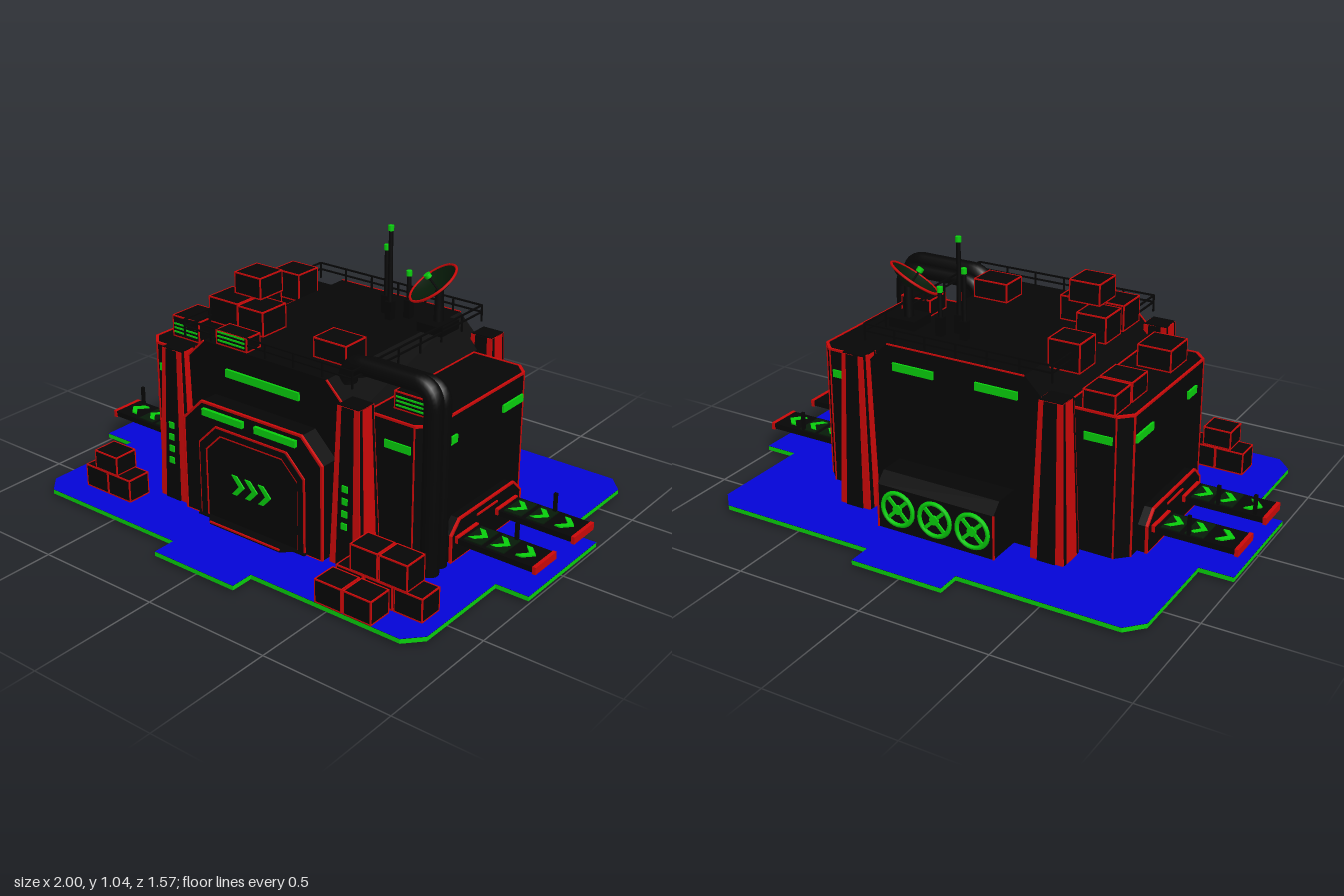
import * as THREE from 'three';

const mat = (name, color) => {
  const m = new THREE.MeshStandardMaterial({ color });
  m.name = name;
  return m;
};

export function createModel() {
  const root = new THREE.Group();
  root.name = 'outpost';
  const black = mat('black', 0x060606), red = mat('red', 0xcc0808), green = mat('green', 0x08d00c);
  const blue = mat('blue', 0x0404d8), darkGreen = mat('darkGreen', 0x061a08);

  // Helpers
  const add = (name, geo, m, parent = root) => {
    const mesh = new THREE.Mesh(geo, m);
    mesh.name = name;
    parent.add(mesh);
    return mesh;
  };
  // box from its limits along each axis
  const box = (name, x0, x1, y0, y1, z0, z1, m, parent = root) => {
    const b = add(name, new THREE.BoxGeometry(Math.abs(x1 - x0), y1 - y0, Math.abs(z1 - z0)), m, parent);
    b.position.set((x0 + x1) / 2, (y0 + y1) / 2, (z0 + z1) / 2);
    return b;
  };
  const poly = pts => new THREE.Shape(pts.map(p => new THREE.Vector2(...p)));
  const extrude = (shape, depth) => new THREE.ExtrudeGeometry(shape, { depth, bevelEnabled: false });
  const arch = (w, y0, h, c) => [[-w, y0], [w, y0], [w, h - c], [w - c, h], [c - w, h], [-w, h - c]];
  const archFrame = (w, y0, h, c, t, depth) => {
    const s = poly(arch(w, y0, h, c));
    s.holes.push(poly(arch(w - t, y0 + 0.001, h - t, c - t * 0.4)));
    return extrude(s, depth);
  };
  // black box with thin red edge bars
  const crate = (name, x0, x1, y0, y1, z0, z1) => {
    const g = new THREE.Group(), e = 0.005, o = 0.001;
    g.name = name;
    root.add(g);
    box('body', x0 + o, x1 - o, y0 + o, y1 - o, z0 + o, z1 - o, black, g);
    for (const a of [0, 1]) for (const b of [0, 1]) {
      const [x, y, z] = [a ? x1 - e : x0, b ? y1 - e : y0, a ? z1 - e : z0];
      const zb = b ? z1 - e : z0;
      box('edge', x0, x1, y, y + e, z, z + e, red, g);
      box('edge', x, x + e, y0, y1, zb, zb + e, red, g);
      box('edge', x, x + e, y, y + e, z0, z1, red, g);
    }
  };
  const chevron = s => poly([[-0.03, 0.037], [-0.006, 0.037], [0.028, 0], [-0.006, -0.037], [-0.03, -0.037], [0.003, 0]]
    .map(p => [p[0] * s, p[1] * s]));

  // Ground plate
  const q = [[1, 0.228], [0.87, 0.228], [0.87, 0.63], [0.81, 0.695], [0.183, 0.695], [0.183, 0.787]];
  const r = [...q].reverse();
  const plan = poly([...q, ...r.map(([x, y]) => [-x, y]), ...q.map(([x, y]) => [-x, -y]), ...r.map(([x, y]) => [x, -y])]);
  const base = add('basePlate', extrude(plan, 0.017), [black, green]);
  base.rotation.x = -Math.PI / 2;
  base.position.y = 0.012;
  const top = add('baseTop', new THREE.ShapeGeometry(plan), blue);
  top.rotation.x = -Math.PI / 2;
  top.position.y = 0.03;

  // Main hall with sloping shoulders
  const hall = poly([[-0.39, 0.02], [0.39, 0.02], [0.39, 0.57], [0.28, 0.68], [-0.28, 0.68], [-0.39, 0.57]]);
  add('mainHall', extrude(hall, 0.8), black).position.z = -0.4;
  box('roofTrim', -0.28, 0.28, 0.677, 0.682, -0.404, -0.399, red);
  for (const s of [-1, 1]) {
    const trim = box('shoulderTrim', -0.078, 0.078, -0.003, 0.003, -0.003, 0.003, red);
    trim.position.set(s * 0.335, 0.625, 0.401);
    trim.rotation.z = -s * Math.PI / 4;
    box('backWindow', s * 0.085, s * 0.255, 0.585, 0.615, -0.408, -0.4, green);
  }
  box('frontWindow', -0.17, 0.165, 0.572, 0.602, 0.403, 0.412, green);

  // Front gate
  add('gatePortal', extrude(poly(arch(0.32, 0.03, 0.485, 0.09)), 0.085), black).position.z = 0.39;
  add('portalTrim', archFrame(0.322, 0.03, 0.488, 0.09, 0.008, 0.01), red).position.z = 0.469;
  add('doorFrame', archFrame(0.245, 0.03, 0.405, 0.08, 0.007, 0.01), red).position.z = 0.47;
  add('doorSurround', archFrame(0.238, 0.03, 0.398, 0.077, 0.022, 0.012), black).position.z = 0.471;
  add('doorTrim', archFrame(0.215, 0.03, 0.372, 0.07, 0.005, 0.006), red).position.z = 0.472;
  for (const x of [-0.062, 0, 0.062]) add('doorChevron', extrude(chevron(1.03), 0.006), green).position.set(x, 0.197, 0.474);
  box('gateLight', -0.22, -0.03, 0.437, 0.463, 0.475, 0.488, green);
  box('gateLight', 0.025, 0.21, 0.437, 0.463, 0.475, 0.488, green);
  box('gateSill', -0.25, 0.25, 0.025, 0.036, 0.4, 0.49, black);
  const step = poly([[-0.2, 0], [0.2, 0], [0.165, -0.035], [-0.165, -0.035]]);
  const stepMesh = add('doorStep', extrude(step, 0.016), black);
  stepMesh.rotation.x = -Math.PI / 2;
  stepMesh.position.set(0, 0.025, 0.488);
  box('stepTrim', -0.165, 0.165, 0.036, 0.042, 0.519, 0.525, red);

  // Tapered corner pillars
  for (const sx of [-1, 1]) for (const sz of [-1, 1]) {
    const g = new THREE.Group();
    g.name = 'cornerPillar';
    g.position.set(sx * 0.403, 0.325, sz * 0.4);
    root.add(g);
    const taper = (w, d) => {
      const geo = new THREE.BoxGeometry(w, 0.6, d), p = geo.attributes.position;
      for (let i = 0; i < p.count; i++) {
        const k = p.getY(i) > 0 ? 0.7 : 1;
        p.setXYZ(i, p.getX(i) * k, p.getY(i), p.getZ(i) * k);
      }
      geo.computeVertexNormals();
      return geo;
    };
    add('pillarCore', taper(0.13, 0.12), red, g);
    add('pillarPanel', taper(0.07, 0.13), black, g);
    add('pillarSidePanel', taper(0.134, 0.105), black, g);
    add('pillarSideStripe', taper(0.138, 0.07), red, g);
    box('pillarCap', -0.043, 0.043, 0.296, 0.304, -0.039, 0.039, black, g);
    if (sz > 0) for (let i = 0; i < 4; i++) {
      const l = box('pillarLight', -0.012, 0.012, -0.012, 0.012, -0.004, 0.004, green, g);
      l.position.set(0, -0.135 + i * 0.047, 0.0605 - i * 0.0016);
    }
  }

  // Side wings
  const wingPts = (inner, w, d, c) => [[inner, -d], [w - c, -d], [w, c - d], [w, d - c], [w - c, d], [inner, d]];
  for (const s of [-1, 1]) {
    const g = new THREE.Group();
    g.name = s > 0 ? 'leftWing' : 'rightWing';
    root.add(g);
    const side = pts => poly(s > 0 ? pts : pts.map(([x, y]) => [-x, y]).reverse());
    const body = add('wingBody', extrude(side(wingPts(0.36, 0.637, 0.325, 0.045)), 0.545), black, g);
    body.rotation.x = -Math.PI / 2;
    body.position.y = 0.025;
    const rim = side(wingPts(0.392, 0.64, 0.328, 0.045));
    rim.holes.push(side(wingPts(0.398, 0.632, 0.32, 0.045)));
    const rimMesh = add('wingRim', extrude(rim, 0.008), red, g);
    rimMesh.rotation.x = -Math.PI / 2;
    rimMesh.position.y = 0.565;
    for (const sz of [-1, 1]) {
      box('cornerTrim', s * 0.634, s * 0.64, 0.03, 0.565, sz * 0.278, sz * 0.283, red, g);
      box('cornerTrim', s * 0.588, s * 0.593, 0.03, 0.565, sz * 0.322, sz * 0.328, red, g);
      box('endWindow', s * 0.47, s * 0.578, 0.462, 0.491, sz * 0.324, sz * 0.331, green, g);
    }
    box('sideWindow', s * 0.636, s * 0.645, 0.463, 0.492, 0.145, 0.217, green, g);
    box('sideWindow', s * 0.636, s * 0.645, 0.463, 0.492, -0.272, -0.143, green, g);

    // Side dock and its two loading pads
    const dock = new THREE.Group();
    dock.name = 'sideDock';
    dock.rotation.y = s * Math.PI / 2;
    dock.position.set(s * 0.63, 0, -0.01);
    g.add(dock);
    add('dockBody', extrude(poly(arch(0.22, 0.025, 0.183, 0.05)), 0.045), black, dock);
    add('dockTrim', archFrame(0.225, 0.03, 0.187, 0.05, 0.007, 0.01), red, dock).position.z = 0.038;
    box('dockLintel', -0.065, 0.065, 0.15, 0.157, 0.044, 0.05, red, dock);
    for (const z of [0.123, -0.133]) {
      box('pad', s * 0.66, s * 0.99, 0.098, 0.12, z - 0.065, z + 0.065, black, g);
      box('padEnd', s * 0.985, s * 0.999, 0.094, 0.122, z - 0.068, z + 0.068, red, g);
      box('padRoot', s * 0.675, s * 0.688, 0.1, 0.125, z - 0.066, z + 0.066, red, g);
      for (const x of [0.74, 0.83, 0.93]) {
        if (x !== 0.93) box('padPlate', s * (x - 0.035), s * (x + 0.035), 0.118, 0.124, z - 0.055, z + 0.055, darkGreen, g);
        const c = add('padChevron', extrude(chevron(1), 0.006), green, g);
        c.rotation.set(-Math.PI / 2, 0, s > 0 ? 0 : Math.PI);
        c.position.set(s * x, 0.12, z);
      }
    }
  }
  for (const [x, z] of [[0.85, 0.07], [0.85, -0.185], [-0.95, 0.07], [-0.81, -0.185], [-0.81, 0.07]])
    box('padPost', x - 0.006, x + 0.006, 0.11, 0.195, z - 0.006, z + 0.006, black);

  // Rear ventilation housing with three fans
  const vent = extrude(poly([[0.39, 0], [0.54, 0], [0.54, 0.2], [0.5, 0.24], [0.39, 0.24]]), 0.48);
  const ventMesh = add('ventHousing', vent, black);
  ventMesh.rotation.y = Math.PI / 2;
  ventMesh.position.x = -0.24;
  for (const x of [-0.24, 0.24]) box('ventTrim', x - 0.003, x + 0.003, 0.03, 0.2, -0.543, -0.537, red);
  for (const x of [-0.155, 0, 0.155]) {
    const fan = new THREE.Group();
    fan.name = 'fan';
    fan.position.set(x, 0.12, -0.542);
    root.add(fan);
    add('fanRing', new THREE.TorusGeometry(0.063, 0.009, 6, 28), green, fan);
    for (const a of [1, -1]) box('fanSpoke', -0.06, 0.06, -0.007, 0.007, -0.004, 0.004, green, fan).rotation.z = a * Math.PI / 4;
    const hub = add('fanHub', new THREE.CylinderGeometry(0.018, 0.018, 0.014, 14), green, fan);
    hub.rotation.x = Math.PI / 2;
  }

  // Roof boxes, wing boxes and ground crates
  [[-0.39, -0.27, 0.68, 0.78, -0.02, 0.1], [-0.325, -0.2, 0.785, 0.868, 0.055, 0.18],
    [-0.39, -0.25, 0.68, 0.78, 0.12, 0.25], [-0.25, -0.13, 0.68, 0.775, 0.12, 0.25],
    [-0.415, -0.29, 0.66, 0.77, -0.26, -0.145], [0.12, 0.265, 0.68, 0.755, 0.16, 0.275],
    [-0.225, -0.08, 0.68, 0.735, 0.32, 0.395], [-0.59, -0.455, 0.57, 0.655, 0.1, 0.24],
    [-0.585, -0.46, 0.57, 0.645, -0.2, -0.08], [-0.585, -0.46, 0.57, 0.645, -0.325, -0.21],
    [0.45, 0.585, 0.57, 0.637, 0.135, 0.25]].forEach(b => crate('roofBox', ...b));
  for (const [x0, x1, y, z] of [[-0.215, -0.09, 0.694, 0.395], [-0.58, -0.465, 0.588, 0.24], [0.46, 0.575, 0.583, 0.25]])
    for (const dy of [0, 0.016, 0.032]) box('ventStripe', x0, x1, y + dy, y + dy + 0.006, z - 0.002, z + 0.003, green);
  [[0.46, 0, 0.48], [0.58, 0, 0.48], [0.7, 0, 0.48], [0.46, 0, 0.595], [0.58, 0, 0.595], [0.52, 1, 0.482], [0.64, 1, 0.482],
    [-0.735, 0, 0.49], [-0.62, 0, 0.49], [-0.68, 1, 0.492]].forEach(([x, up, z]) =>
    crate('crate', x, x + 0.115, up ? 0.122 : 0.03, up ? (x > 0 ? 0.222 : 0.197) : 0.12, z, z + 0.1));

  // Roof railing
  const [rx, rz] = [0.38, 0.39];
  for (const s of [-1, 1]) {
    for (const y of [0.707, 0.733]) {
      box('railBar', -rx, rx, y - 0.003, y + 0.003, s * rz - 0.003, s * rz + 0.003, black);
      box('railBar', s * rx - 0.003, s * rx + 0.003, y - 0.003, y + 0.003, -rz, rz, black);
    }
    for (let i = 0; i <= 6; i++) {
      const x = rx * (i / 3 - 1), z = rz * (i / 3 - 1);
      box('railPost', x - 0.003, x + 0.003, 0.67, 0.735, s * rz - 0.003, s * rz + 0.003, black);
      box('railPost', s * rx - 0.003, s * rx + 0.003, 0.67, 0.735, z - 0.003, z + 0.003, black);
    }
  }

  // Two pipes from the roof down the side
  for (const [x, y, z, rad] of [[0.655, 0.725, 0.31, 0.034], [0.65, 0.705, 0.245, 0.028]]) {
    const v = (a, b) => new THREE.Vector3(a, b, z), path = new THREE.CurvePath();
    path.add(new THREE.QuadraticBezierCurve3(v(0.3, 0.65), v(0.3, y), v(0.37, y)));
    path.add(new THREE.LineCurve3(v(0.37, y), v(x - 0.07, y)));
    path.add(new THREE.QuadraticBezierCurve3(v(x - 0.07, y), v(x, y), v(x, y - 0.07)));
    path.add(new THREE.LineCurve3(v(x, y - 0.07), v(x, 0.03)));
    add('pipe', new THREE.TubeGeometry(path, 80, rad, 14), black);
  }

  // Antennas with lit tips
  for (const [x, h, z] of [[0.065, 0.945, -0.225], [0.115, 1.04, -0.18], [0.16, 0.862, -0.235]]) {
    add('antenna', new THREE.CylinderGeometry(0.008, 0.01, h - 0.68, 8), black).position.set(x, (h + 0.68) / 2, z);
    add('antennaTip', new THREE.CylinderGeometry(0.011, 0.011, 0.02, 8), green).position.set(x, h - 0.009, z);
    box('antennaFoot', x - 0.014, x + 0.014, 0.68, 0.75, z - 0.014, z + 0.014, black);
  }

  // Satellite dish
  box('dishFoot', 0.26, 0.37, 0.68, 0.715, -0.255, -0.145, black);
  add('dishMast', new THREE.CylinderGeometry(0.016, 0.02, 0.13, 10), black).position.set(0.315, 0.765, -0.205);
  const dish = new THREE.Group();
  dish.name = 'dish';
  dish.position.set(0.312, 0.828, -0.205);
  dish.quaternion.setFromUnitVectors(new THREE.Vector3(0, 1, 0), new THREE.Vector3(-0.42, 0.82, 0.4).normalize());
  root.add(dish);
  const bowl = off => [0.001, 0.03, 0.055, 0.08, 0.1].map(x => new THREE.Vector2(x, x * x * 3.5 + off));
  add('dishBack', new THREE.LatheGeometry(bowl(0), 28), darkGreen, dish);
  add('dishFace', new THREE.LatheGeometry(bowl(0.005).reverse(), 28), darkGreen, dish);
  const rim = add('dishRim', new THREE.TorusGeometry(0.1, 0.005, 6, 32), red, dish);
  rim.rotation.x = Math.PI / 2;
  rim.position.y = 0.037;
  add('dishFeed', new THREE.CylinderGeometry(0.004, 0.004, 0.07, 8), black, dish).position.y = 0.035;
  add('feedTip', new THREE.CylinderGeometry(0.013, 0.013, 0.016, 10), green, dish).position.y = 0.072;

  return root;
}
